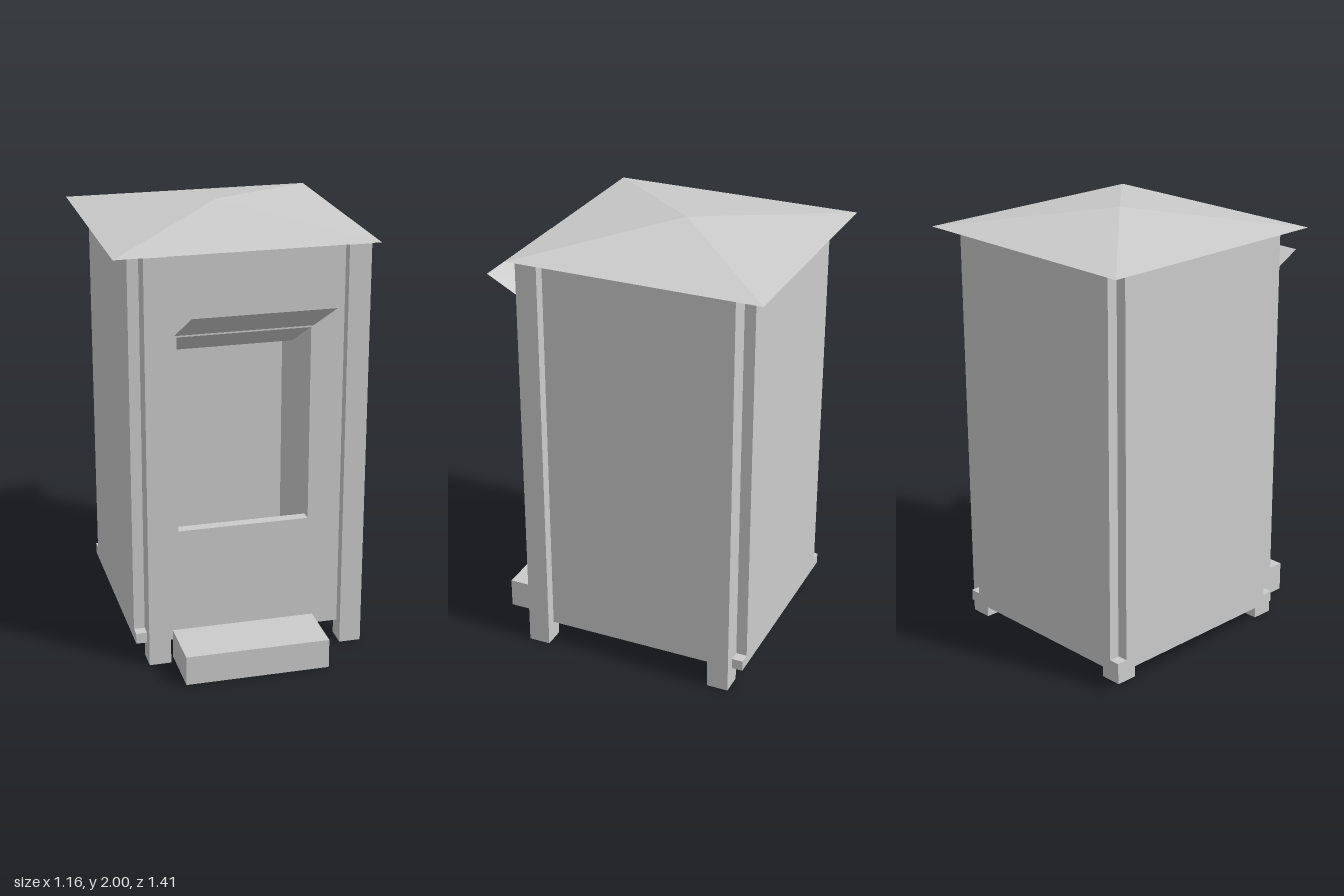
import * as THREE from 'three';

const material = new THREE.MeshStandardMaterial({ color: 0xcccccc, flatShading: true, side: THREE.DoubleSide });
const CZ = -0.125; // centre line of the hut in z

function add(group, name, geometry, x, y, z) {
  const mesh = new THREE.Mesh(geometry, material);
  mesh.name = name;
  mesh.position.set(x, y, z);
  group.add(mesh);
  return mesh;
}

// Box standing on y = 0 with an open underside
function bottomlessBox(w, h, d) {
  const g = new THREE.BoxGeometry(w, h, d).translate(0, h / 2, 0);
  const index = Array.from(g.index.array);
  index.splice(18, 6);
  g.setIndex(index);
  g.clearGroups();
  return g;
}

// Low four-sided pyramid with its base on y = 0
function flatPyramid(w, h, d) {
  return new THREE.ConeGeometry(Math.SQRT1_2, 1, 4, 1)
    .rotateY(Math.PI / 4)
    .translate(0, 0.5, 0)
    .scale(w, h, d);
}

export function createModel() {
  const hut = new THREE.Group();
  hut.name = 'kiosk';

  // Floor slab
  add(hut, 'floor', new THREE.BoxGeometry(1, 0.05, 1), 0, 0.115, CZ);

  // Corner posts, set off diagonally from the floor
  for (const x of [-0.4, 0.5])
    for (const z of [-0.525, 0.375])
      add(hut, 'cornerPost', bottomlessBox(0.1, 1.9, 0.1), x, 0, z);

  // Side and back walls, stopping short of the corners
  const wallH = 1.76, wallY = 0.14 + wallH / 2;
  for (const s of [-1, 1])
    add(hut, s > 0 ? 'leftWall' : 'rightWall', new THREE.BoxGeometry(0.05, wallH, 0.9), s * 0.475, wallY, CZ);
  add(hut, 'backWall', new THREE.BoxGeometry(0.9, wallH, 0.05), 0, wallY, CZ - 0.475);

  // Front wall with the serving window
  const rect = (Type, x, y0, y1) => new Type([
    new THREE.Vector2(-x, y0), new THREE.Vector2(x, y0),
    new THREE.Vector2(x, y1), new THREE.Vector2(-x, y1),
  ]);
  const front = rect(THREE.Shape, 0.45, 0.14, 1.9);
  front.holes.push(rect(THREE.Path, 0.3, 0.625, 1.53));
  add(hut, 'frontWall', new THREE.ExtrudeGeometry(front, { depth: 0.05, bevelEnabled: false }), 0, 0, 0.325);

  // Tilted window flap, pivoting in the top of the opening
  const flap = add(hut, 'windowFlap', flatPyramid(0.62, 0.015, 0.73), 0, 1.54, 0.38);
  flap.rotation.x = -0.49;

  // Entry step
  add(hut, 'step', bottomlessBox(0.66, 0.137, 0.265), 0, 0, 0.508);

  // Roof
  add(hut, 'roof', flatPyramid(1.165, 0.09, 1.16), 0, 1.91, CZ);

  return hut;
}
